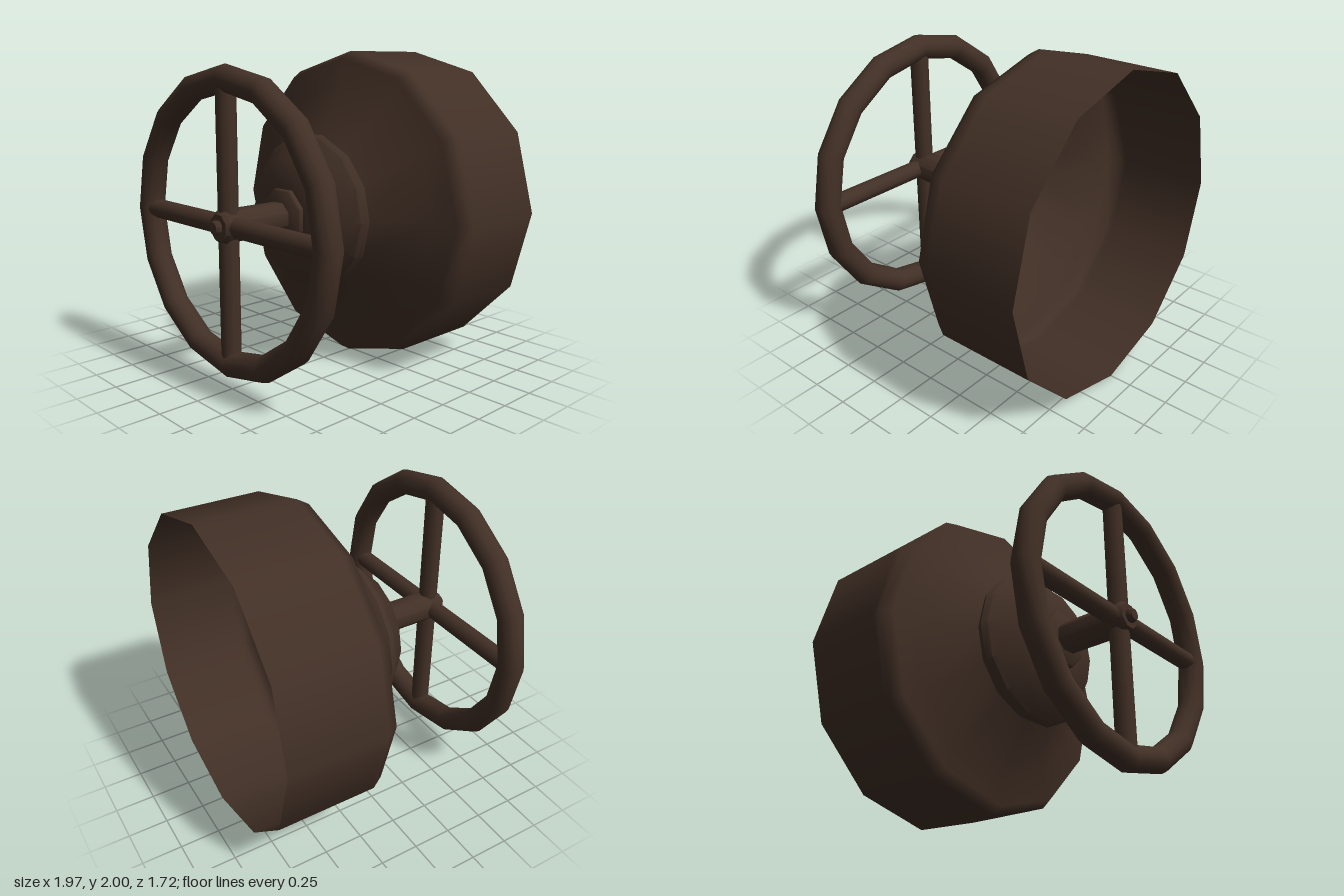
import * as THREE from 'three';
import { toCreasedNormals } from 'three/addons/utils/BufferGeometryUtils.js';

export function createModel() {
  const model = new THREE.Group();
  model.name = 'handwheelValve';
  const brown = new THREE.MeshStandardMaterial({ color: 0x423026, side: THREE.DoubleSide });
  brown.name = 'darkBrown';

  // Everything is turned about the z axis at this height
  const axis = new THREE.Group();
  axis.name = 'valveAssembly';
  axis.position.y = 1;
  model.add(axis);

  const add = (name, geometry) => {
    const mesh = new THREE.Mesh(geometry, brown);
    mesh.name = name;
    axis.add(mesh);
    return mesh;
  };

  // Lathe a [radius, z] profile, listed from back to front
  const turn = (name, profile, sides, start = 0, crease = 0) => {
    const points = profile.map(([r, z]) => new THREE.Vector2(r, z));
    let geometry = new THREE.LatheGeometry(points, sides, start);
    geometry.rotateX(Math.PI / 2);
    if (crease) geometry = toCreasedNormals(geometry, crease);
    return add(name, geometry);
  };

  // Hollow drum, open at the back, tapering into a cone
  const body = turn('body', [
    [1, -0.86], [1, -0.28], [1, -0.235], [0.955, -0.16], [0.79, -0.16], [0.43, 0.07],
  ], 12);
  body.scale.x = 0.985;

  // Collar and cap over the end of the cone
  turn('cap', [
    [0.44, 0.055], [0.47, 0.065], [0.503, 0.115], [0.487, 0.155],
    [0.45, 0.175], [0.36, 0.28], [0.17, 0.32], [0, 0.32],
  ], 14, Math.PI / 2, 0.7);
  turn('capPlate', [
    [0.165, 0.31], [0.18, 0.325], [0.18, 0.35], [0.17, 0.36], [0, 0.36],
  ], 8, Math.PI / 8, 0.85);

  // Stem through the cap to the wheel hub
  turn('neck', [[0, 0.18], [0.035, 0.18], [0.035, 0.39]], 8, 0, 0.85);
  turn('stem', [
    [0, 0.367], [0.09, 0.367], [0.1, 0.38], [0.1, 0.8], [0.08, 0.825], [0, 0.825],
  ], 8, Math.PI / 8, 0.85);
  turn('hubBolt', [[0.045, 0.81], [0.045, 0.845], [0.035, 0.86], [0, 0.86]], 8, Math.PI / 8, 0.85);

  // Handwheel rim
  const rim = add('wheelRim', new THREE.TorusGeometry(0.842, 0.08, 12, 16));
  rim.position.z = 0.75;

  // Crossed spokes
  for (const [name, turnAngle] of [['verticalSpoke', 0], ['horizontalSpoke', Math.PI / 2]]) {
    const spoke = add(name, new THREE.CylinderGeometry(0.06, 0.06, 1.64, 10));
    spoke.rotation.z = turnAngle;
    spoke.position.z = 0.75;
  }
  return model;
}
